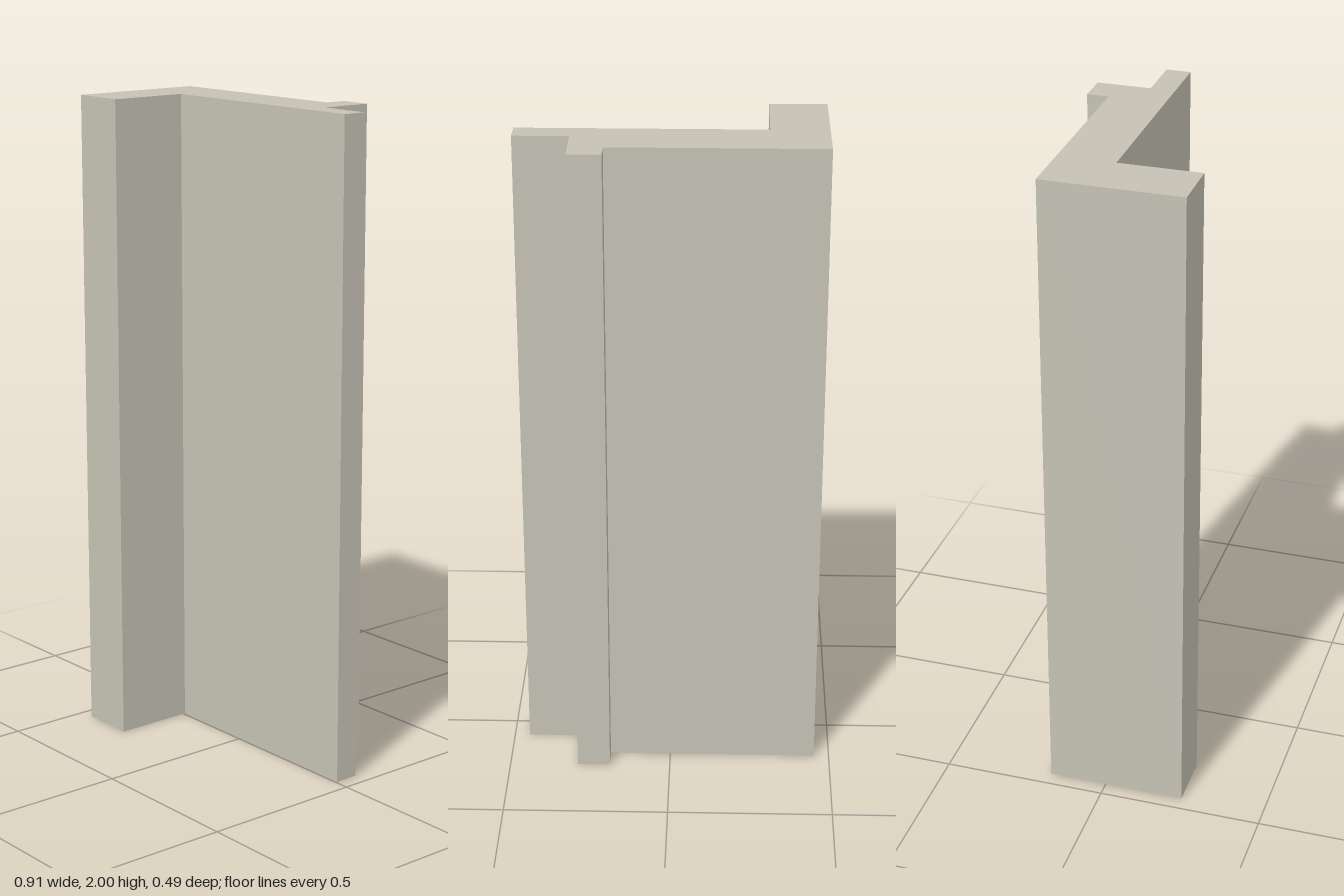
import * as THREE from 'three';

export function createModel() {
  const group = new THREE.Group();
  group.name = 'frameProfile';
  const stone = new THREE.MeshStandardMaterial({ color: 0xc5c2b4 });
  stone.name = 'warm grey';

  // Constant cross-section as [x, z]: panel, front return, back rib and thin side lip
  const outline = [
    [-0.453, 0.244], [-0.281, 0.244], [-0.281, -0.005], [0.453, -0.005], [0.453, -0.08],
    [0.288, -0.08], [0.288, -0.244], [0.188, -0.244], [0.188, -0.178], [-0.453, -0.178],
  ];
  const shape = new THREE.Shape(outline.map(([x, z]) => new THREE.Vector2(x, -z)));

  // Extrude to full height and stand upright
  const geometry = new THREE.ExtrudeGeometry(shape, { depth: 2, bevelEnabled: false });
  geometry.rotateX(-Math.PI / 2);

  const profile = new THREE.Mesh(geometry, stone);
  profile.name = 'jambProfile';
  group.add(profile);
  return group;
}
